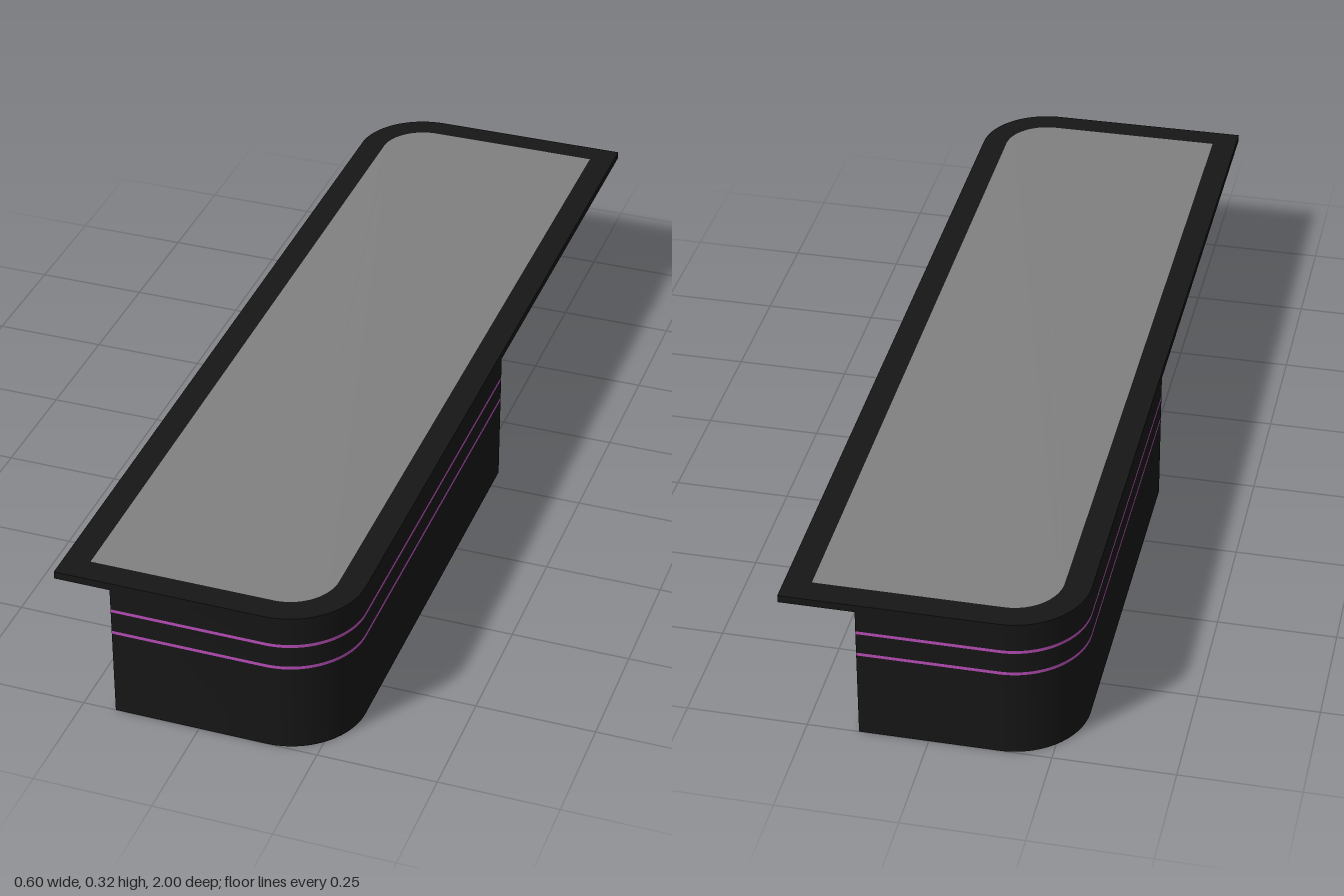
import * as THREE from 'three';
import { toCreasedNormals } from 'three/addons/utils/BufferGeometryUtils.js';

const W = 0.298, D = 1;          // half width and half depth of the counter
const WALL = 0.055, R = 0.155;   // wall / border thickness, outer corner radius
const LEG_TOP = 0.3, TOP = 0.316;

const black = new THREE.MeshStandardMaterial({ color: 0x161616 });
const purple = new THREE.MeshStandardMaterial({ color: 0xb84db8 });
const grey = new THREE.MeshStandardMaterial({ color: 0x808080 });

// Extrude a plan shape (shape x = x, shape y = -z) between two heights
function slab(name, shape, y0, y1, material) {
  const geo = new THREE.ExtrudeGeometry(shape, { depth: y1 - y0, bevelEnabled: false, curveSegments: 14 });
  geo.rotateX(-Math.PI / 2);
  geo.translate(0, y0, 0);
  const mesh = new THREE.Mesh(toCreasedNormals(geo, 0.6), material);
  mesh.name = name;
  return mesh;
}

// Counter outline: two opposite corners rounded, the other two square
function topOutline(inset, PathType = THREE.Shape) {
  const w = W - inset, d = D - inset, r = R - inset;
  const p = new PathType();
  p.moveTo(-w, -d);
  p.lineTo(w - r, -d);
  p.absarc(w - r, -d + r, r, -Math.PI / 2, 0, false);
  p.lineTo(w, d);
  p.lineTo(-w + r, d);
  p.absarc(-w + r, d - r, r, Math.PI / 2, Math.PI, false);
  p.lineTo(-w, -d);
  return p;
}

// L-shaped wall around the rounded front corner
function wallOutline(xEnd, zEnd) {
  const cx = W - R, cy = -D + R, ri = R - WALL;
  const s = new THREE.Shape();
  s.moveTo(xEnd, -D);
  s.lineTo(cx, -D);
  s.absarc(cx, cy, R, -Math.PI / 2, 0, false);
  s.lineTo(W, -zEnd);
  s.lineTo(W - WALL, -zEnd);
  s.lineTo(W - WALL, cy);
  s.absarc(cx, cy, ri, 0, -Math.PI / 2, true);
  s.lineTo(xEnd, -D + WALL);
  s.closePath();
  return s;
}

// Wall stacked from dark panels with two flush coloured stripes
function makeWall(name, xEnd, zEnd) {
  const group = new THREE.Group();
  group.name = name;
  const shape = wallOutline(xEnd, zEnd);
  const levels = [0, 0.193, 0.2, 0.246, 0.253, LEG_TOP];
  for (let i = 0; i < levels.length - 1; i++) {
    const stripe = i % 2 === 1;
    group.add(slab(stripe ? 'stripe' : 'wallPanel', shape, levels[i], levels[i + 1], stripe ? purple : black));
  }
  return group;
}

export function createModel() {
  const model = new THREE.Group();
  model.name = 'counter';

  // Supporting walls at diagonally opposite corners
  const frontWall = makeWall('frontWall', -0.18, -0.055);
  const backWall = makeWall('backWall', -0.143, 0.063);
  backWall.rotation.y = Math.PI;
  model.add(frontWall, backWall);

  // Countertop: dark base and border with a flush grey inlay
  const mid = (LEG_TOP + TOP) / 2;
  const border = topOutline(0);
  border.holes.push(topOutline(WALL, THREE.Path));
  model.add(
    slab('topBase', topOutline(0), LEG_TOP, mid, black),
    slab('topBorder', border, mid, TOP, black),
    slab('topInlay', topOutline(WALL), mid, TOP, grey),
  );
  return model;
}
